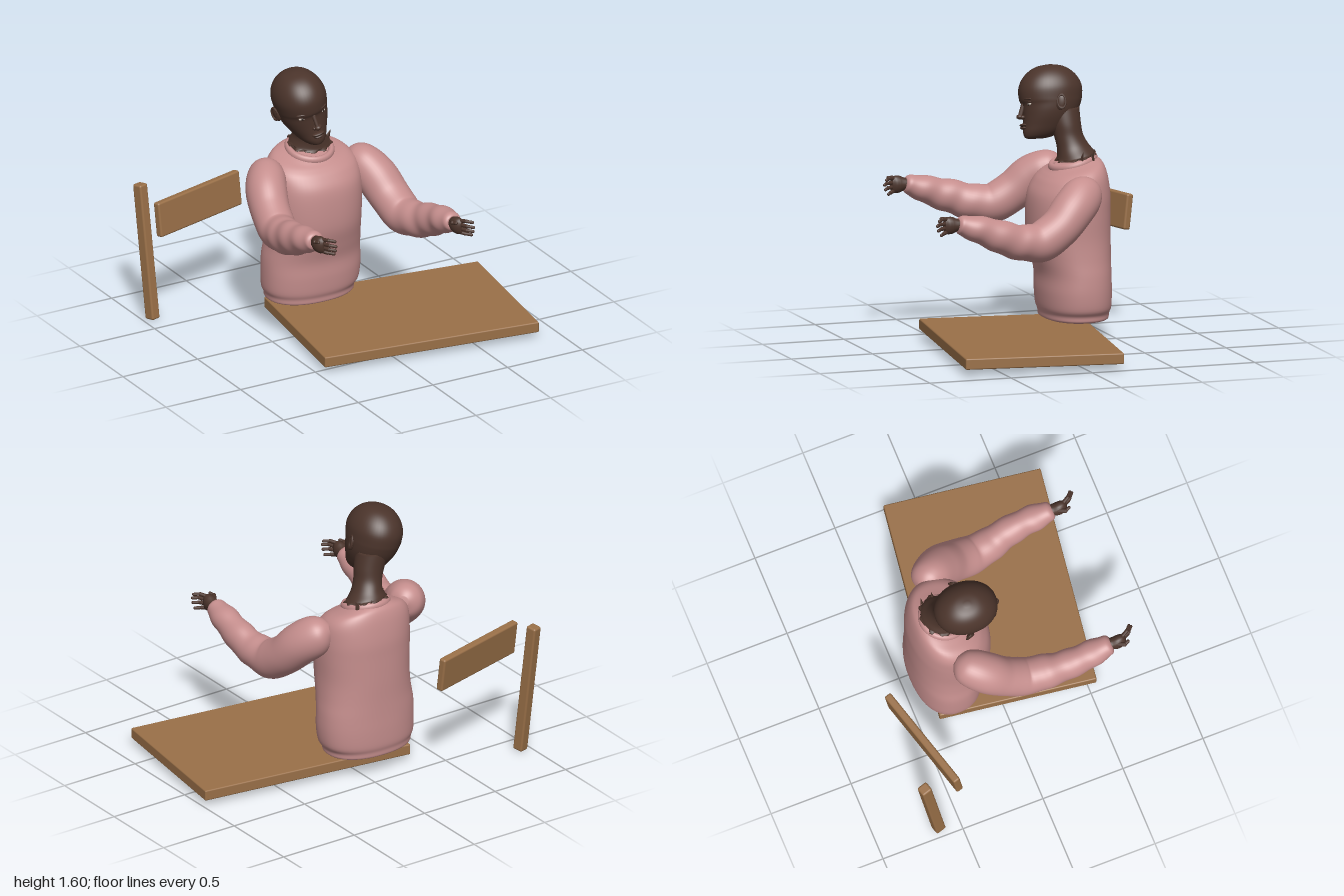
import * as THREE from 'three';
import { RoundedBoxGeometry } from 'three/addons/geometries/RoundedBoxGeometry.js';

const paint = (name, color) => {
  const m = new THREE.MeshStandardMaterial({ color });
  m.name = name;
  return m;
};

function add(parent, name, geometry, material, pos = [0, 0, 0], rot = [0, 0, 0], scale = [1, 1, 1]) {
  const mesh = new THREE.Mesh(geometry, material);
  mesh.name = name;
  mesh.position.set(...pos);
  mesh.rotation.set(...rot);
  mesh.scale.set(...scale);
  parent.add(mesh);
  return mesh;
}

// Smooth skin through rings [x, y, z, halfWidth, halfDepth, tilt].
// upright: rings lie level; otherwise they stand square to the path.
function loft(rings, { upright = false, steps = 5, sides = 40, power = 2, shape = null } = {}) {
  const n = (rings.length - 1) * steps, pos = [], index = [];
  const sample = (t) => {
    const f = Math.min(t * (rings.length - 1), rings.length - 1.00001), i = Math.floor(f), s = f - i;
    const at = (k) => rings[Math.max(0, Math.min(rings.length - 1, k))];
    return [0, 1, 2, 3, 4, 5].map((k) => {
      const [a, b, c, d] = [at(i - 1), at(i), at(i + 1), at(i + 2)].map((r) => r[k] ?? 0);
      return b + 0.5 * s * (c - a + s * (2 * a - 5 * b + 4 * c - d + s * (3 * (b - c) + d - a)));
    });
  };
  const centre = (t) => new THREE.Vector3(...sample(THREE.MathUtils.clamp(t, 0, 1)).slice(0, 3));
  const bend = (c) => Math.sign(c) * Math.abs(c) ** (2 / power);
  for (let i = 0; i <= n; i++) {
    const t = i / n, r = sample(t);
    const dir = upright ? new THREE.Vector3(0, 1, 0) : centre(t + 0.02).sub(centre(t - 0.02)).normalize();
    const u = new THREE.Vector3(1, 0, 0).addScaledVector(dir, -dir.x).normalize();
    const v = dir.clone().cross(u);
    v.y += r[5];
    for (let j = 0; j < sides; j++) {
      const a = (j / sides) * Math.PI * 2, k = shape ? shape(t, a) : 1;
      const p = new THREE.Vector3(r[0], r[1], r[2])
        .addScaledVector(u, bend(Math.cos(a)) * r[3] * k).addScaledVector(v, bend(Math.sin(a)) * r[4] * k);
      pos.push(p.x, p.y, p.z);
    }
  }
  for (let i = 0; i < n; i++) for (let j = 0; j < sides; j++) {
    const a = i * sides + j, b = i * sides + (j + 1) % sides;
    index.push(a, b, b + sides, a, b + sides, a + sides);
  }
  // end caps
  const first = pos.length / 3;
  pos.push(...rings[0].slice(0, 3), ...rings.at(-1).slice(0, 3));
  for (let j = 0; j < sides; j++) {
    const k = (j + 1) % sides;
    index.push(first, k, j, first + 1, n * sides + j, n * sides + k);
  }
  const g = new THREE.BufferGeometry();
  g.setAttribute('position', new THREE.Float32BufferAttribute(pos, 3));
  g.setIndex(index);
  g.computeVertexNormals();
  return g;
}

// Rounded rod between two points
function rod(parent, name, material, a, b, radius) {
  const p = new THREE.Vector3(...a), q = new THREE.Vector3(...b), d = q.clone().sub(p);
  const mesh = add(parent, name, new THREE.CapsuleGeometry(radius, d.length(), 4, 10), material);
  mesh.position.copy(p).add(q).multiplyScalar(0.5);
  mesh.quaternion.setFromUnitVectors(new THREE.Vector3(0, 1, 0), d.normalize());
}

export function createModel() {
  const model = new THREE.Group();
  model.name = 'seatedFigure';
  const wood = paint('wood', 0x9a7048), wool = paint('pinkWool', 0xc58e8d);
  const skin = paint('skin', 0x4b342b), white = paint('eyeWhite', 0xc9bdb2), dark = paint('iris', 0x21150f);

  // Table top and loose chair parts
  add(model, 'tableTop', new RoundedBoxGeometry(1.342, 0.065, 0.94, 2, 0.008), wood, [0.265, 0.0725, 0.175], [0, -0.135, 0]);
  const chair = new THREE.Group();
  chair.name = 'chair';
  model.add(chair);
  for (const [name, size, p] of [
    ['chairBackPanel', [0.67, 0.21, 0.045], [-0.65, 0.68, -0.605]],
    ['chairPost', [0.062, 0.83, 0.066], [-0.953, 0.417, -0.678]],
  ]) {
    const part = add(chair, name, new RoundedBoxGeometry(...size, 2, 0.012), wood, p);
    part.rotation.set(-0.125, 0.27, 0, 'YXZ');
  }

  // Sweater body, with a hem and sloping shoulders
  add(model, 'sweaterBody', loft([
    [-0.1, 0.13, -0.27, 0.25, 0.17], [-0.1, 0.14, -0.27, 0.272, 0.188], [-0.1, 0.17, -0.27, 0.278, 0.192],
    [-0.095, 0.21, -0.268, 0.298, 0.203], [-0.092, 0.3, -0.265, 0.305, 0.208], [-0.092, 0.4, -0.263, 0.302, 0.208],
    [-0.09, 0.5, -0.25, 0.29, 0.22], [-0.09, 0.62, -0.236, 0.284, 0.235], [-0.09, 0.76, -0.234, 0.288, 0.236],
    [-0.09, 0.87, -0.24, 0.287, 0.228], [-0.093, 0.96, -0.252, 0.275, 0.2, 0.1], [-0.095, 1.01, -0.26, 0.235, 0.172, 0.2],
    [-0.097, 1.035, -0.265, 0.17, 0.145, 0.25], [-0.097, 1.05, -0.267, 0.125, 0.12, 0.25],
  ], { upright: true, power: 2.25, sides: 56 }), wool);
  add(model, 'sweaterCollar', new THREE.TorusGeometry(0.127, 0.02, 12, 48), wool,
    [-0.097, 1.045, -0.267], [Math.PI / 2 + 0.25, 0, 0], [1, 1, 1.3]);

  // Sleeves with soft folds
  const sleeves = {
    left: [[0.16, 0.95, -0.285, 0.03, 0.03], [0.185, 0.935, -0.26, 0.085, 0.085], [0.225, 0.9, -0.215, 0.112, 0.12],
      [0.275, 0.83, -0.135, 0.125, 0.125], [0.31, 0.735, -0.04, 0.122, 0.118], [0.33, 0.665, 0.08, 0.115, 0.118],
      [0.348, 0.67, 0.2, 0.1, 0.104], [0.366, 0.7, 0.3, 0.09, 0.1], [0.372, 0.74, 0.4, 0.082, 0.09],
      [0.37, 0.775, 0.5, 0.078, 0.076], [0.366, 0.797, 0.58, 0.06, 0.058], [0.366, 0.802, 0.605, 0.042, 0.04]],
    right: [[-0.35, 0.985, -0.285, 0.03, 0.03], [-0.375, 0.975, -0.26, 0.085, 0.085], [-0.415, 0.95, -0.215, 0.112, 0.115],
      [-0.462, 0.9, -0.135, 0.12, 0.125], [-0.49, 0.82, -0.04, 0.115, 0.118], [-0.51, 0.752, 0.08, 0.112, 0.115],
      [-0.53, 0.76, 0.2, 0.102, 0.105], [-0.548, 0.79, 0.3, 0.09, 0.1], [-0.556, 0.82, 0.4, 0.084, 0.09],
      [-0.557, 0.855, 0.5, 0.078, 0.076], [-0.556, 0.88, 0.58, 0.062, 0.058], [-0.556, 0.886, 0.605, 0.042, 0.04]],
  };
  const folds = (t, a) => 1 + 0.035 * Math.sin(t * 48 + 1.2 * Math.sin(a)) * THREE.MathUtils.smoothstep(t, 0.35, 0.6);
  for (const side in sleeves) {
    add(model, side + 'Sleeve', loft(sleeves[side], { shape: folds, steps: 7 }), wool);

    // Hand: palm, two-jointed fingers and thumb
    const hand = new THREE.Group();
    hand.name = side + 'Hand';
    hand.position.set(...sleeves[side].at(-1).slice(0, 3));
    model.add(hand);
    add(hand, 'palm', loft([
      [0, 0, -0.03, 0.032, 0.032], [0, 0, 0.0, 0.034, 0.036], [-0.004, 0, 0.035, 0.038, 0.05],
      [0.002, 0, 0.065, 0.032, 0.05], [0.008, 0, 0.085, 0.014, 0.036],
    ], { sides: 20 }), skin);
    for (let i = 0; i < 4; i++) {
      const y = 0.036 - i * 0.024, reach = [0.0, 0.012, 0.006, -0.012][i];
      rod(hand, 'fingerBase', skin, [0.003, y, 0.065], [0.024, y * 1.15, 0.105 + reach], 0.0115);
      rod(hand, 'fingerTip', skin, [0.024, y * 1.15, 0.105 + reach], [0.052, y * 1.15 - 0.004, 0.13 + reach], 0.0095);
    }
    rod(hand, 'thumb', skin, [-0.025, 0.025, 0.03], [-0.045, 0.032, 0.065], 0.013);
    rod(hand, 'thumbTip', skin, [-0.045, 0.032, 0.065], [-0.035, 0.036, 0.09], 0.01);
  }

  // Neck, flaring to a ragged lower edge
  const ragged = (t, a) => 1 + (t < 0.1 ? 0.07 * Math.sin(a * 9) + 0.05 * Math.sin(a * 14 + 1) : 0);
  add(model, 'neck', loft([
    [-0.09, 1.075, -0.28, 0.13, 0.115, 0.2], [-0.092, 1.095, -0.28, 0.115, 0.105, 0.2], [-0.105, 1.14, -0.268, 0.088, 0.092, 0.1],
    [-0.125, 1.2, -0.25, 0.083, 0.086], [-0.145, 1.27, -0.238, 0.092, 0.09], [-0.175, 1.36, -0.228, 0.1, 0.1],
  ], { upright: true, shape: ragged, sides: 56 }), skin);
  // loose skin points standing above the collar
  for (const [x, y, z, turn] of [[0.035, 1.09, -0.28, -0.5], [0.02, 1.085, -0.35, -0.4], [-0.05, 1.08, -0.385, 0.2], [-0.205, 1.075, -0.27, 0.5]])
    add(model, 'skinPoint', new THREE.ConeGeometry(0.025, 0.075, 6), skin, [x, y, z], [0, 0, turn], [1, 1, 0.6]);

  // Head, tilted to its right: rows of height, front, back, half width
  const head = new THREE.Group();
  head.name = 'head';
  head.position.set(-0.22, 1.42, -0.17);
  head.rotation.set(0, -0.06, 0.22);
  model.add(head);
  const rows = [
    [-0.248, 0.145, 0.05, 0.025], [-0.238, 0.165, 0.0, 0.052], [-0.21, 0.173, -0.06, 0.08], [-0.17, 0.17, -0.11, 0.104],
    [-0.13, 0.168, -0.14, 0.124], [-0.09, 0.168, -0.162, 0.138], [-0.05, 0.17, -0.178, 0.146], [-0.02, 0.182, -0.186, 0.15],
    [0.04, 0.184, -0.19, 0.153], [0.095, 0.163, -0.17, 0.137], [0.14, 0.122, -0.13, 0.105], [0.168, 0.07, -0.08, 0.064],
    [0.179, 0.01, -0.02, 0.012],
  ];
  add(head, 'skull', loft(rows.map(([y, f, b, w]) => [0, y, (f + b) / 2, w, (f - b) / 2]),
    { upright: true, power: 2.1, sides: 48 }), skin);

  // Face
  const ball = new THREE.SphereGeometry(1, 20, 14);
  rod(head, 'noseBridge', skin, [0, -0.045, 0.164], [0, -0.11, 0.186], 0.013);
  add(head, 'noseTip', ball, skin, [0, -0.117, 0.19], [0, 0, 0], [0.02, 0.015, 0.02]);
  add(head, 'upperLip', ball, skin, [0, -0.166, 0.17], [0, 0, 0], [0.038, 0.009, 0.022]);
  add(head, 'lowerLip', ball, skin, [0, -0.183, 0.17], [0, 0, 0], [0.032, 0.01, 0.02]);
  add(head, 'mouthLine', ball, dark, [0, -0.1745, 0.172], [0, 0, 0], [0.034, 0.002, 0.016]);
  for (const s of [1, -1]) {
    add(head, 'nostrilWing', ball, skin, [s * 0.017, -0.121, 0.176], [0, 0, 0], [0.012, 0.011, 0.014]);
    add(head, 'eye', ball, white, [s * 0.068, -0.047, 0.148], [0, s * 0.38, 0], [0.021, 0.0085, 0.008]);
    add(head, 'iris', ball, dark, [s * 0.068, -0.047, 0.151], [0, s * 0.38, 0], [0.008, 0.008, 0.007]);
    add(head, 'upperLid', ball, skin, [s * 0.068, -0.037, 0.148], [0, s * 0.38, 0], [0.026, 0.006, 0.011]);
    add(head, 'brow', ball, skin, [s * 0.066, -0.018, 0.156], [0, s * 0.38, 0], [0.036, 0.008, 0.012]);
    // ear
    add(head, 'ear', ball, skin, [s * 0.153, -0.05, -0.02], [-0.15, s * -0.35, s * -0.12], [0.012, 0.045, 0.027]);
    add(head, 'earRim', new THREE.TorusGeometry(0.03, 0.006, 8, 24), skin,
      [s * 0.162, -0.044, -0.023], [0, Math.PI / 2 - s * 0.35, 0], [0.8, 1.3, 1]);
  }
  return model;
}
